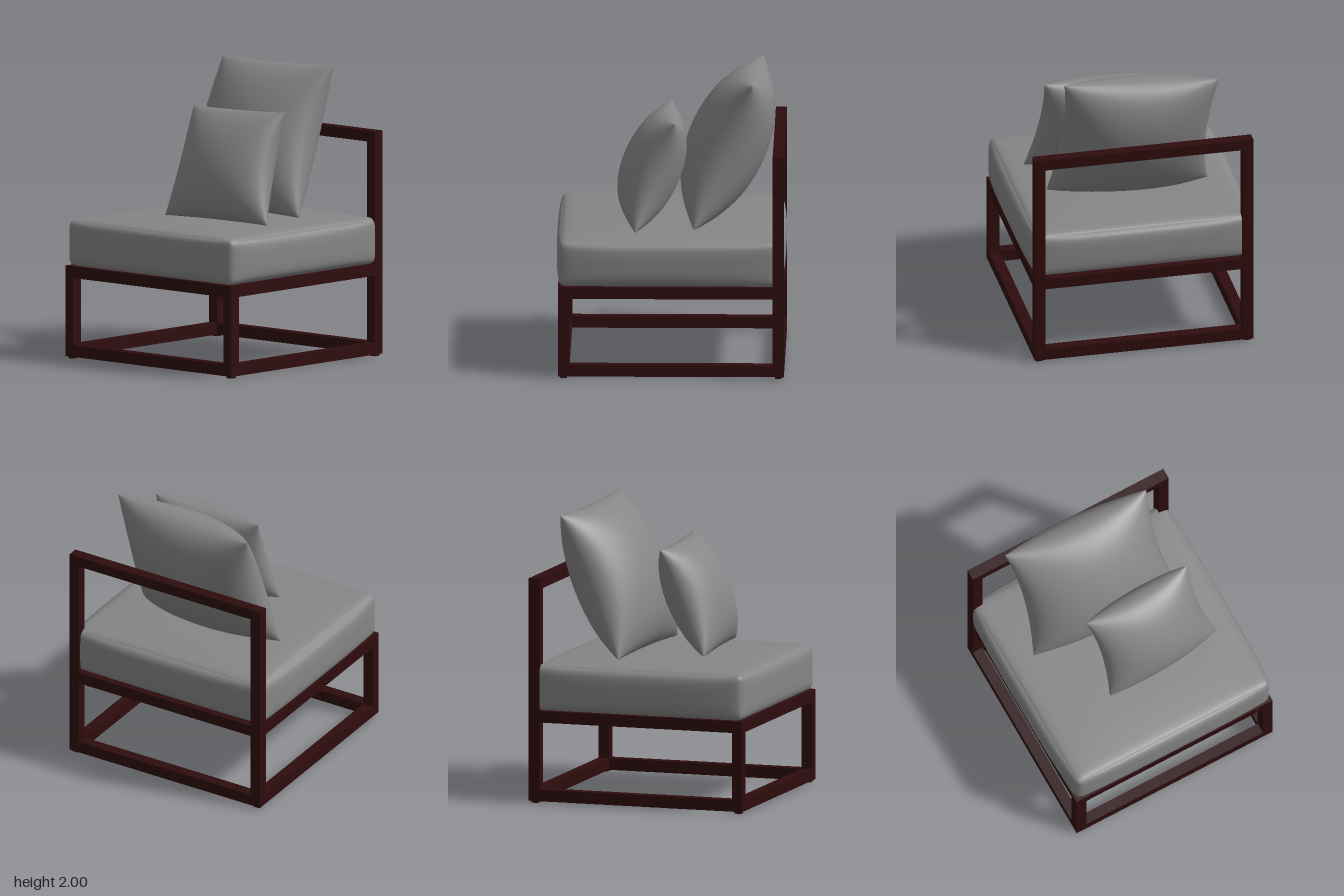
import * as THREE from 'three';
import { mergeVertices, mergeGeometries } from 'three/addons/utils/BufferGeometryUtils.js';

const wood = new THREE.MeshStandardMaterial({ color: 0x2e0c0e });
wood.name = 'dark red wood';
const fabric = new THREE.MeshStandardMaterial({ color: 0x868686 });
fabric.name = 'grey fabric';

// weld shared vertices and smooth the shading
function smooth(geo) {
  geo.deleteAttribute('uv');
  geo.deleteAttribute('normal');
  const g = mergeVertices(geo, 1e-4);
  g.computeVertexNormals();
  return g;
}

// move every vertex by a rule
function deform(geo, rule) {
  const p = geo.attributes.position, v = new THREE.Vector3();
  for (let i = 0; i < p.count; i++) {
    v.fromBufferAttribute(p, i);
    rule(v);
    p.setXYZ(i, v.x, v.y, v.z);
  }
  return geo;
}

const ease = t => Math.sin(t * Math.PI / 2);

// rounded, slightly bulging seat block
function seatGeometry() {
  const half = new THREE.Vector3(0.755, 0.16, 0.755), r = 0.045;
  const inner = half.clone().subScalar(r);
  const geo = deform(new THREE.BoxGeometry(2, 2, 2, 26, 16, 26), v => {
    const s = new THREE.Vector3(ease(v.x), ease(v.y), ease(v.z));
    const p = s.clone().multiply(half);
    const core = p.clone().clamp(inner.clone().negate(), inner);
    const out = p.clone().sub(core);
    if (out.lengthSq() > 0) p.copy(core).addScaledVector(out.normalize(), r);
    const fx = 1 - s.x ** 4, fy = 1 - s.y ** 4, fz = 1 - s.z ** 4;
    v.set(
      p.x + s.x * 0.034 * fy * fz,
      0.797 + p.y + (s.y > 0 ? s.y * 0.024 * fx * fz : 0),
      0.003 + p.z + s.z * (s.z > 0 ? 0.022 : 0.034) * fx * fy
    );
  });
  return smooth(geo);
}

// pillow stretched between four corners: top left, top right, bottom left, bottom right in the front view
function pillowGeometry(corners, thickness, pinch, phase) {
  const [tl, tr, bl, br] = corners.map(c => new THREE.Vector3(...c));
  const across = tr.clone().add(br).sub(tl).sub(bl);
  const up = tl.clone().add(tr).sub(bl).sub(br);
  const normal = across.cross(up).normalize();
  const sides = [1, -1].map(side => deform(new THREE.PlaneGeometry(2, 2, 32, 32), v => {
    const u = ease(v.x) * side, w = ease(v.y);
    const a = u * (1 - pinch * (1 - w * w)), b = w * (1 - 0.025 * (1 - u * u));
    const top = tl.clone().lerp(tr, (a + 1) / 2);
    const bottom = bl.clone().lerp(br, (a + 1) / 2);
    const puff = Math.sqrt(Math.max(0, (1 - u * u) * (1 - w * w)));
    const crease = 1 + 0.03 * Math.sin(4 * u + 3 * w + phase) * (1 - puff);
    v.copy(bottom.lerp(top, (b + 1) / 2)).addScaledVector(normal, side * thickness * puff * crease);
  }));
  return smooth(mergeGeometries(sides));
}

export function createModel() {
  const model = new THREE.Group();
  const frame = new THREE.Group();
  frame.name = 'frame';
  model.add(frame);

  const bar = (name, x0, x1, y0, y1, z0, z1) => {
    const m = new THREE.Mesh(new THREE.BoxGeometry(x1 - x0, y1 - y0, z1 - z0), wood);
    m.position.set((x0 + x1) / 2, (y0 + y1) / 2, (z0 + z1) / 2);
    m.name = name;
    frame.add(m);
  };
  const X = 0.765, xi = 0.69, F = 0.765, fi = 0.69, B = -0.78, bi = -0.703;

  // posts, feet and side rails
  for (const s of [-1, 1]) {
    const a = s < 0 ? -X : xi, b = s < 0 ? -xi : X;
    bar('frontPost', a, b, 0.015, 0.64, fi, F);
    bar('backPost', a, b, 0.015, 1.555, B, bi);
    bar('frontFoot', a + 0.015, b - 0.015, 0, 0.015, fi + 0.015, F - 0.015);
    bar('backFoot', a + 0.015, b - 0.015, 0, 0.015, B + 0.015, bi - 0.015);
    for (const y of [0.015, 0.56]) bar('sideRail', a, b, y, y + 0.08, bi, fi);
  }

  // front, back and top rails
  for (const y of [0.015, 0.56]) {
    bar('frontRail', -xi, xi, y, y + 0.08, fi, F);
    bar('backRail', -xi, xi, y, y + 0.08, B, bi);
  }
  bar('backTopRail', -xi, xi, 1.48, 1.555, B, bi);

  // triangular corner braces under the seat
  for (const sx of [-1, 1]) for (const sz of [-1, 1]) {
    const z = sz > 0 ? fi : bi;
    const tri = new THREE.Shape([[0, 0], [0.15, 0], [0, 0.15]].map(c =>
      new THREE.Vector2(sx * (xi - c[0]), z - sz * c[1])));
    const brace = new THREE.Mesh(new THREE.ExtrudeGeometry(tri, { depth: 0.015, bevelEnabled: false }), wood);
    brace.rotation.x = Math.PI / 2;
    brace.position.y = 0.636;
    brace.name = 'cornerBrace';
    frame.add(brace);
  }

  // cushions
  const soft = (name, geo) => {
    const m = new THREE.Mesh(geo, fabric);
    m.name = name;
    model.add(m);
  };
  soft('seatCushion', seatGeometry());
  soft('largePillow', pillowGeometry(
    [[-0.56, 1.965, -0.62], [0.51, 2.0, -0.56], [-0.57, 0.99, -0.2], [0.55, 0.995, -0.16]], 0.275, 0.09, 0));
  soft('smallPillow', pillowGeometry(
    [[-0.27, 1.715, 0], [0.535, 1.735, -0.03], [-0.255, 0.99, 0.31], [0.62, 0.99, 0.24]], 0.205, 0.1, 2));

  return model;
}
